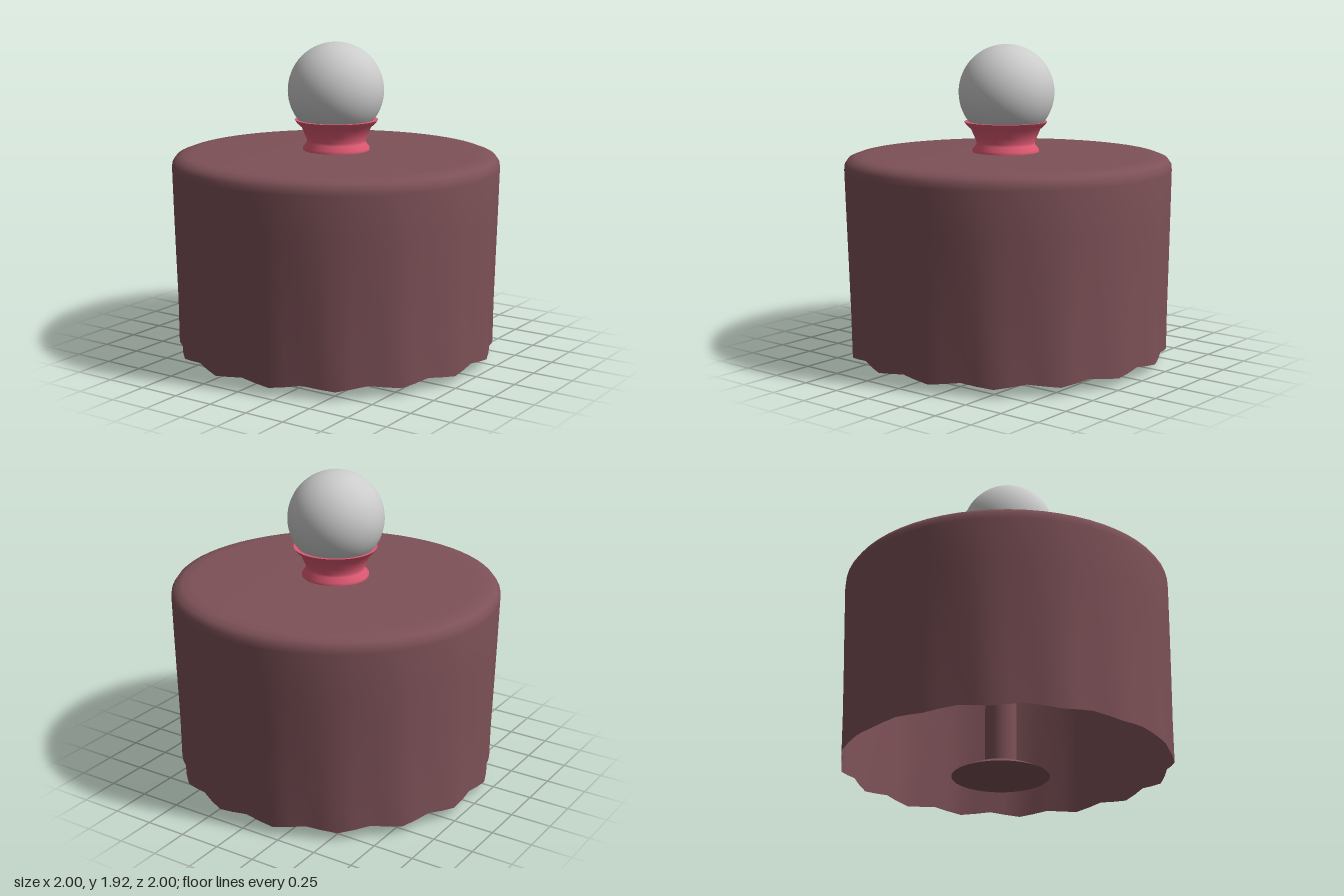
import * as THREE from 'three';
import { toCreasedNormals } from 'three/addons/utils/BufferGeometryUtils.js';

const shadeMat = new THREE.MeshStandardMaterial({ color: 0x7d5157, side: THREE.DoubleSide });
const socketMat = new THREE.MeshStandardMaterial({ color: 0xe05a74, side: THREE.DoubleSide });
const bulbMat = new THREE.MeshStandardMaterial({ color: 0xcccccc });

// Revolve [radius, height] pairs, listed from bottom to top
function lathe(profile, segments, crease) {
  const points = profile.map(([r, y]) => new THREE.Vector2(r, y));
  const geo = new THREE.LatheGeometry(points, segments);
  return crease ? toCreasedNormals(geo, crease) : geo;
}

function add(group, name, geo, mat, x = 0, y = 0, z = 0) {
  const mesh = new THREE.Mesh(geo, mat);
  mesh.name = name;
  mesh.position.set(x, y, z);
  group.add(mesh);
  return mesh;
}

// Drum shade, open below, with 16 soft flutes that fade towards the top
function shadeGeometry() {
  const geo = lathe([
    [0.972, 0.062], [0.976, 0.3], [0.985, 0.6], [0.993, 0.9], [0.999, 1.17],
    [0.996, 1.205], [0.975, 1.235], [0.93, 1.252], [0.86, 1.255], [0, 1.255],
  ], 64);
  const pos = geo.attributes.position;
  for (let i = 0; i < pos.count; i++) {
    const x = pos.getX(i), y = pos.getY(i), z = pos.getZ(i);
    const wave = Math.cos(16 * Math.atan2(x, z));
    const fade = Math.max(0, 1 - y / 1.1);
    const scale = 1 - 0.012 * wave * fade;
    const lift = y < 0.1 ? 0.012 * wave : 0;
    pos.setXYZ(i, x * scale, y + lift, z * scale);
  }
  return toCreasedNormals(geo, 1.0);
}

export function createModel() {
  const model = new THREE.Group();
  model.name = 'tableLamp';

  add(model, 'shade', shadeGeometry(), shadeMat);

  // Foot and pole stand slightly behind the centre
  add(model, 'foot', lathe([
    [0, 0], [0.29, 0], [0.235, 0.028], [0.18, 0.052], [0.12, 0.068], [0.06, 0.075], [0, 0.075],
  ], 48, 0.5), shadeMat, 0, 0, -0.045);
  add(model, 'pole', new THREE.CylinderGeometry(0.094, 0.094, 1.18, 32, 1, true),
    shadeMat, 0, 0.66, -0.045);

  // Flared socket cup
  add(model, 'socket', lathe([
    [0, 1.27], [0.203, 1.27], [0.203, 1.287], [0.18, 1.315], [0.178, 1.33],
    [0.195, 1.37], [0.212, 1.41], [0.24, 1.435], [0.254, 1.455], [0.225, 1.455],
  ], 48, 0.8), socketMat, 0.01, 0, 0.01);

  add(model, 'bulb', new THREE.SphereGeometry(0.292, 48, 32), bulbMat, 0.005, 1.633, 0.008);

  return model;
}
